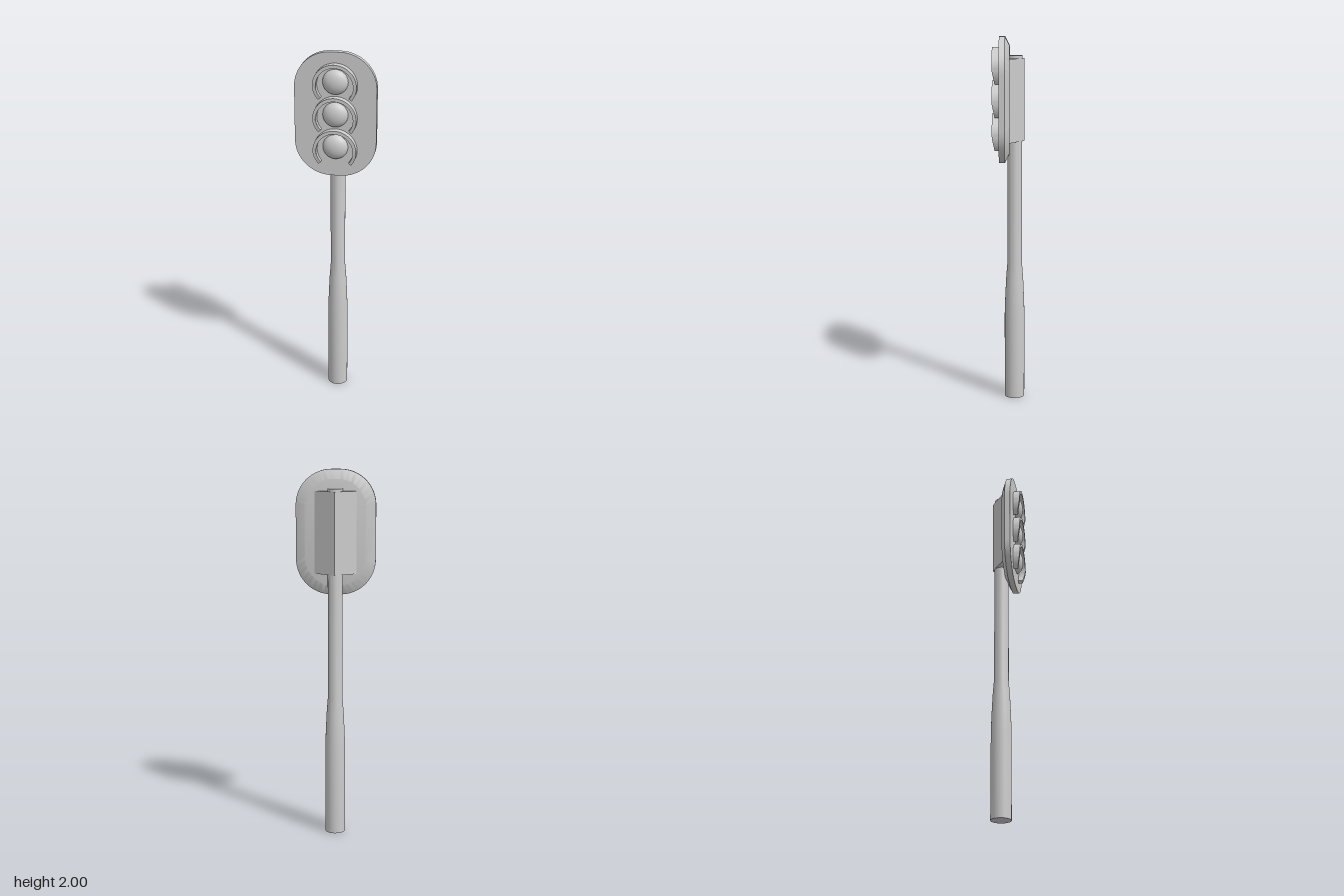
import * as THREE from 'three';
import { toCreasedNormals } from 'three/addons/utils/BufferGeometryUtils.js';

const material = new THREE.MeshStandardMaterial({ color: 0xcccccc, side: THREE.DoubleSide });

function addPart(group, name, geometry) {
  const mesh = new THREE.Mesh(geometry, material);
  mesh.name = name;
  group.add(mesh);
  return mesh;
}

// Moves every vertex by a rule, then rebuilds normals with sharp edges kept
function reshape(geometry, rule) {
  const pos = geometry.attributes.position;
  const v = new THREE.Vector3();
  for (let i = 0; i < pos.count; i++) {
    rule(v.fromBufferAttribute(pos, i));
    pos.setXYZ(i, v.x, v.y, v.z);
  }
  return toCreasedNormals(geometry, 0.5);
}

// Rounded backing plate: straight rim in front, chamfer towards the back
function plateGeometry() {
  const w = 0.215, h = 0.335, r = 0.19;
  const shape = new THREE.Shape();
  shape.absarc(w - r, h - r, r, 0, Math.PI / 2);
  shape.absarc(r - w, h - r, r, Math.PI / 2, Math.PI);
  shape.absarc(r - w, r - h, r, Math.PI, Math.PI * 1.5);
  shape.absarc(w - r, r - h, r, Math.PI * 1.5, Math.PI * 2);
  const geometry = new THREE.ExtrudeGeometry(shape, { depth: 2, steps: 2, bevelEnabled: false, curveSegments: 8 });
  const layers = [-0.008, 0.017, 0.048];
  return reshape(geometry, (v) => {
    const layer = Math.round(v.z);
    if (layer === 0) {
      v.x *= 0.77;
      v.y *= 0.85;
    }
    v.z = layers[layer];
  });
}

// Open-bottomed hood whose front lip recedes towards its lower ends
function visorGeometry() {
  const outer = 0.115, inner = 0.097, from = -0.72, to = Math.PI + 0.72;
  const shape = new THREE.Shape();
  shape.absarc(0, 0, outer, from, to, false);
  shape.absarc(0, 0, inner, to, from, true);
  const geometry = new THREE.ExtrudeGeometry(shape, { depth: 1, bevelEnabled: false, curveSegments: 20 });
  return reshape(geometry, (v) => {
    v.z = v.z < 0.5 ? 0.04 : 0.086 + Math.min(0, v.y) * 0.2;
  });
}

export function createModel() {
  const model = new THREE.Group();
  model.name = 'trafficLight';

  // Pole with a thicker base and a gentle shoulder
  const profile = [
    [0, 0], [0.055, 0], [0.055, 0.48], [0.052, 0.57], [0.047, 0.68],
    [0.04, 0.77], [0.04, 1.9], [0, 1.9],
  ].map(([x, y]) => new THREE.Vector2(x, y));
  const pole = addPart(model, 'pole', toCreasedNormals(new THREE.LatheGeometry(profile, 24), 0.5));
  pole.position.z = -0.035;

  // Backing plate
  addPart(model, 'backingPlate', plateGeometry()).position.y = 1.665;

  // Triangular housing behind the plate
  const wedge = new THREE.Shape([
    new THREE.Vector2(-0.115, 0.006),
    new THREE.Vector2(0.115, 0.006),
    new THREE.Vector2(0, 0.086),
  ]);
  const housing = new THREE.ExtrudeGeometry(wedge, { depth: 0.44, bevelEnabled: false });
  housing.rotateX(-Math.PI / 2);
  addPart(model, 'rearHousing', housing).position.y = 1.445;

  // Three lamps, each a domed lens under a hood
  const lens = new THREE.SphereGeometry(0.067, 24, 8, 0, Math.PI * 2, 0, Math.PI / 2);
  lens.rotateX(Math.PI / 2);
  lens.scale(1, 1, 0.6);
  const visor = visorGeometry();
  ['top', 'middle', 'bottom'].forEach((place, i) => {
    const lamp = new THREE.Group();
    lamp.name = place + 'Lamp';
    lamp.position.y = 1.828 - i * 0.176;
    addPart(lamp, 'lens', lens).position.set(0, 0.016, 0.047);
    addPart(lamp, 'visor', visor);
    model.add(lamp);
  });

  return model;
}
